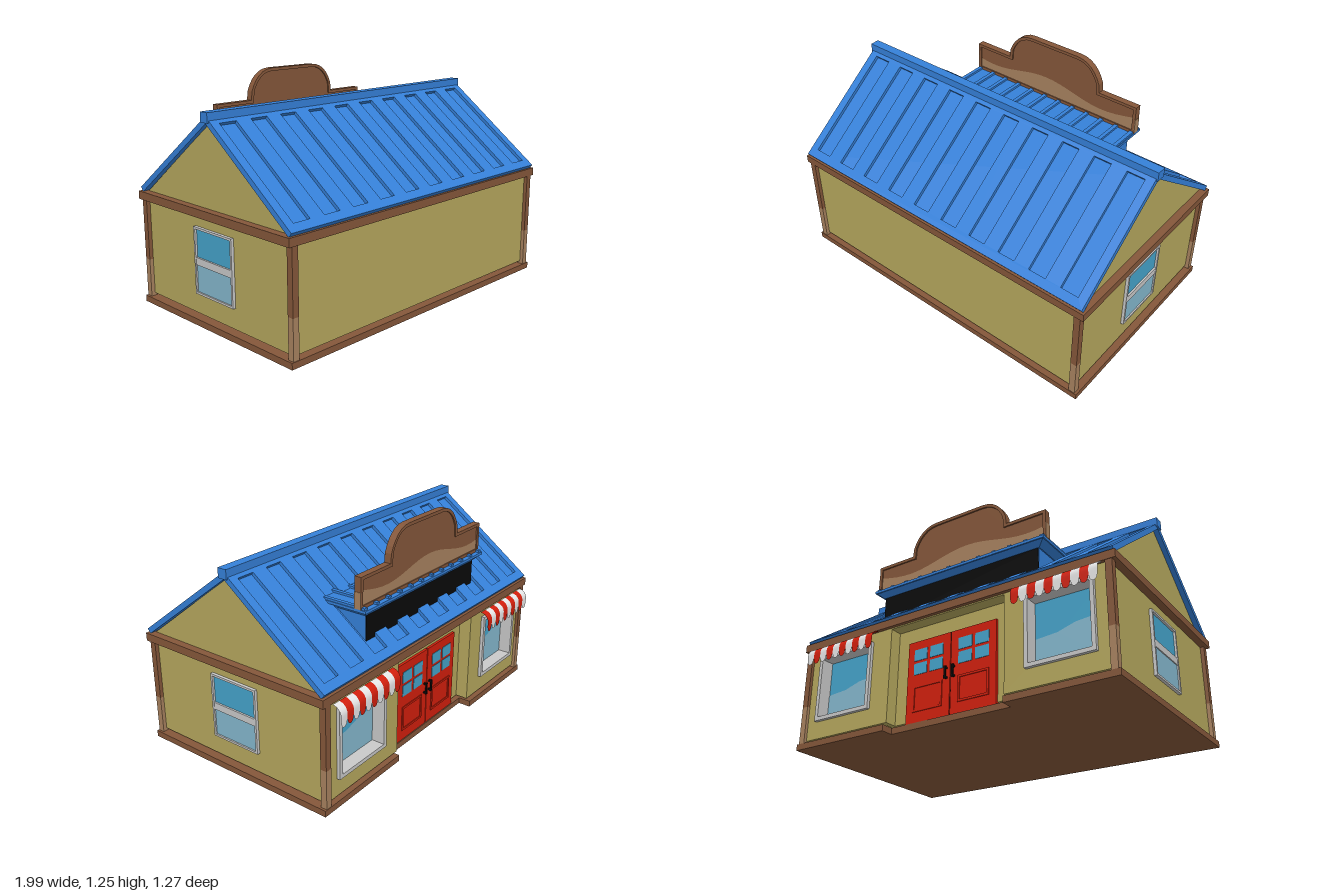
import * as THREE from 'three';

const colour = (name, hex) => {
  const m = new THREE.MeshStandardMaterial({ color: hex, side: THREE.DoubleSide });
  m.name = name;
  return m;
};

export function createModel() {
  const root = new THREE.Group();
  root.name = 'shop';
  const blue = colour('roof blue', 0x3580d8), sand = colour('wall sand', 0xb5a75d);
  const brown = colour('timber brown', 0x85573a), tan = colour('worn timber', 0xa8825f);
  const red = colour('red', 0xd21f0c), white = colour('white', 0xf0f0f0);
  const grey = colour('frame grey', 0xc9c9c9), teal = colour('glass teal', 0x45a3ca);
  const pale = colour('glass pale', 0x84b7cd), black = colour('black', 0x0a0a0a);

  const add = (name, geo, mat, parent = root) => {
    const m = new THREE.Mesh(geo, mat);
    m.name = name;
    parent.add(m);
    return m;
  };
  // Box given by its low and high limits on each axis
  const box = (name, mat, x0, x1, y0, y1, z0, z1, parent = root) => {
    const m = add(name, new THREE.BoxGeometry(x1 - x0, y1 - y0, z1 - z0), mat, parent);
    m.position.set((x0 + x1) / 2, (y0 + y1) / 2, (z0 + z1) / 2);
    return m;
  };
  const poly = pts => new THREE.Shape(pts.map(p => new THREE.Vector2(p[0], p[1])));
  const rect = (x0, x1, y0, y1) => poly([[x0, y0], [x1, y0], [x1, y1], [x0, y1]]);
  const extrude = (shape, depth) =>
    new THREE.ExtrudeGeometry(shape, { depth, bevelEnabled: false, curveSegments: 6 });
  // Rectangular ring extruded along z
  const ring = (x0, x1, y0, y1, t, depth) => {
    const s = rect(x0, x1, y0, y1);
    s.holes.push(rect(x0 + t, x1 - t, y0 + t, y1 - t));
    return extrude(s, depth);
  };

  // Floor plinth with a notch for the entrance
  const plinth = extrude(poly([[-0.99, -0.635], [0.99, -0.635], [0.99, 0.587], [0.37, 0.587],
    [0.37, 0.515], [-0.37, 0.515], [-0.37, 0.587], [-0.99, 0.587]]), 0.035);
  plinth.rotateX(-Math.PI / 2);
  add('plinth', plinth, brown);
  box('eaveBand', brown, -0.997, 0.997, 0.595, 0.64, -0.588, 0.635);
  box('entranceCeiling', sand, -0.37, 0.37, 0.588, 0.595, -0.567, -0.49);

  // Walls
  box('rearWall', sand, -0.955, 0.955, 0.05, 0.595, 0.57, 0.61);
  box('doorWall', sand, -0.38, 0.38, 0.05, 0.595, -0.495, -0.46);
  for (const s of [-1, 1]) {
    const side = new THREE.Group();
    side.name = s > 0 ? 'leftSide' : 'rightSide';
    root.add(side);
    const span = (name, mat, a, b, ...rest) =>
      box(name, mat, Math.min(s * a, s * b), Math.max(s * a, s * b), ...rest, side);
    span('sideWall', sand, 0.915, 0.955, 0.05, 0.595, -0.565, 0.61);
    span('entranceCheek', sand, 0.365, 0.395, 0.05, 0.595, -0.565, -0.47);

    // Corner posts, worn at the foot
    for (const [z0, z1] of [[0.595, 0.631], [-0.585, -0.549]]) {
      span('cornerPost', brown, 0.94, 0.977, 0.25, 0.597, z0, z1);
      span('cornerPostFoot', tan, 0.94, 0.977, 0.035, 0.25, z0, z1);
    }

    // Gable
    const gable = extrude(poly([[-0.61, 0.635], [0.56, 0.635], [-0.025, 1.082]]), 0.03);
    gable.rotateY(Math.PI / 2);
    add('gable', gable, sand, side).position.x = s > 0 ? 0.925 : -0.955;

    // Side window: frame, rail and two panes
    const frame = ring(-0.18, 0.13, 0.165, 0.53, 0.012, 0.022);
    frame.rotateY(Math.PI / 2);
    add('sideWindowFrame', frame, grey, side).position.x = s > 0 ? 0.95 : -0.972;
    span('sideWindowRail', grey, 0.95, 0.97, 0.325, 0.365, -0.125, 0.175);
    span('sideWindowUpperPane', teal, 0.952, 0.96, 0.365, 0.52, -0.12, 0.17);
    span('sideWindowLowerPane', pale, 0.955, 0.964, 0.175, 0.325, -0.12, 0.17);

    // Shop front wall with a deep display window
    const [wa, wb] = s > 0 ? [0.49, 0.875] : [-0.875, -0.49];
    const wall = s > 0 ? rect(0.365, 0.955, 0.05, 0.595) : rect(-0.955, -0.365, 0.05, 0.595);
    wall.holes.push(rect(wa + 0.01, wb - 0.01, 0.16, 0.53));
    add('shopWall', extrude(wall, 0.04), sand, side).position.z = -0.567;
    add('displayFrame', ring(wa, wb, 0.15, 0.54, 0.022, 0.09), grey, side).position.z = -0.586;
    box('displayPane', teal, wa + 0.01, wb - 0.01, 0.16, 0.53, -0.508, -0.5, side);
    add('displayReflection', new THREE.ShapeGeometry(poly([[wa + 0.02, 0.165], [wb - 0.02, 0.165],
      [wb - 0.02, 0.32], [wa + 0.24, 0.33], [wa + 0.14, 0.36], [wa + 0.02, 0.37]])), pale, side)
      .position.z = -0.511;

    // Striped awning with rounded tips
    const w = 0.048;
    for (let i = 0; i < 10; i++) {
      const g = new THREE.PlaneGeometry(w, 1, 8, 12), p = g.attributes.position;
      for (let k = 0; k < p.count; k++) {
        const u = p.getX(k) / (w / 2);
        const t = 0.5 - p.getY(k);
        const d = t * (0.105 + 0.035 * Math.sqrt(Math.max(0, 1 - u * u)));
        const r = 0.05, a = Math.min(d / r, Math.PI / 2);
        p.setY(k, 0.588 - r * (1 - Math.cos(a)) - Math.max(0, d - r * Math.PI / 2));
        p.setZ(k, -0.585 - r * Math.sin(a));
      }
      g.computeVertexNormals();
      add('awningStripe', g, i % 2 ? white : red, side).position.x = s * (0.445 + w * (i + 0.5));
    }

    // Door leaf with four panes, lower panel and handle
    span('doorLeaf', red, 0.003, 0.283, 0.036, 0.5, -0.51, -0.49);
    for (const x of [0.05, 0.155]) for (const y of [0.305, 0.385])
      span('doorPane', teal, x, x + 0.085, y, y + 0.065, -0.513, -0.505);
    const panel = ring(0.05, 0.24, 0.095, 0.24, 0.012, 0.006);
    add('doorPanel', panel, red, side).position.set(s > 0 ? 0 : -0.29, 0, -0.515);
    span('doorHandle', black, 0.018, 0.03, 0.235, 0.305, -0.53, -0.522);
    for (const y of [0.238, 0.292])
      span('handleMount', black, 0.018, 0.03, y, y + 0.01, -0.524, -0.508);
  }
  box('doorGap', black, -0.003, 0.003, 0.036, 0.5, -0.505, -0.49);

  // Roof slopes: a plate under a sheet with ten sunken panels
  for (const back of [false, true]) {
    const slope = new THREE.Group();
    slope.name = back ? 'entranceRoofSlope' : 'rearRoofSlope';
    slope.position.set(0, 1.08, 0.025);
    slope.rotation.order = 'YXZ';
    slope.rotation.set(-Math.PI / 2 + Math.atan(0.75), back ? Math.PI : 0, 0);
    root.add(slope);
    const sheet = rect(-0.983, 0.983, -0.74, 0);
    for (let i = 0; i < 10; i++) {
      const x = (i - 4.5) * 0.196;
      sheet.holes.push(rect(x - 0.052, x + 0.052, -0.69, -0.035));
    }
    add('roofSheet', extrude(sheet, 0.018), blue, slope).position.z = 0.012;
    box('roofPlate', blue, -0.983, 0.983, -0.74, 0, 0, 0.012, slope);
  }
  box('ridgeCap', blue, -0.992, 0.992, 1.085, 1.138, -0.003, 0.052);

  // Dormer that carries the sign
  box('dormerBody', blue, -0.515, 0.515, 0.7, 0.868, -0.465, -0.25);
  box('dormerFront', black, -0.513, 0.513, 0.7, 0.865, -0.469, -0.464);
  const flare = box('dormerCornice', blue, -0.56, 0.56, 0.865, 0.896, -0.497, -0.22);
  const fp = flare.geometry.attributes.position;
  for (let k = 0; k < fp.count; k++) if (fp.getY(k) < 0) {
    fp.setX(k, fp.getX(k) * 0.93);
    if (fp.getZ(k) < 0) fp.setZ(k, fp.getZ(k) + 0.027);
  }
  flare.geometry = flare.geometry.toNonIndexed();
  flare.geometry.computeVertexNormals();
  box('dormerRoof', blue, -0.565, 0.565, 0.895, 0.91, -0.503, -0.2);
  for (let i = 0; i < 12; i++) {
    const x = (i - 5.5) * 0.1;
    box('dormerRib', blue, x - 0.011, x + 0.011, 0.908, 0.922, -0.495, -0.18);
  }

  // Sign board with a domed top, inset by d
  const signShape = d => {
    const s = new THREE.Shape();
    s.moveTo(-0.565 + d, 0.91 + d);
    s.lineTo(0.565 - d, 0.91 + d);
    s.lineTo(0.565 - d, 1.08 - d);
    s.lineTo(0.32 - d, 1.08 - d);
    s.lineTo(0.315 - d, 1.13);
    s.bezierCurveTo(0.29 - d, 1.2 - d / 2, 0.24 - d / 2, 1.255 - d, 0.16, 1.255 - d);
    s.lineTo(-0.16, 1.255 - d);
    s.bezierCurveTo(-0.24 + d / 2, 1.255 - d, -0.29 + d, 1.2 - d / 2, -0.315 + d, 1.13);
    s.lineTo(-0.32 + d, 1.08 - d);
    s.lineTo(-0.565 + d, 1.08 - d);
    s.closePath();
    return s;
  };
  const rim = signShape(0);
  rim.holes.push(signShape(0.018));
  add('signRim', extrude(rim, 0.04), brown).position.z = -0.475;
  add('signBoard', extrude(signShape(0.01), 0.024), brown).position.z = -0.467;
  // Worn lower part of the sign, with a wavy edge
  const wave = [[0.547, 0.928], [-0.547, 0.928]];
  for (let i = 0; i <= 20; i++) {
    const x = -0.547 + i * 0.0547;
    wave.push([x, 1.005 + 0.03 * Math.sin(x * 8 + 2)]);
  }
  for (const z of [-0.469, -0.441])
    add('signWear', new THREE.ShapeGeometry(poly(wave)), tan).position.z = z;
  for (const s of [-1, 1])
    box('signEndWear', tan, s * 0.565 - 0.002, s * 0.565 + 0.002, 0.911, 1.0, -0.475, -0.435);

  return root;
}
